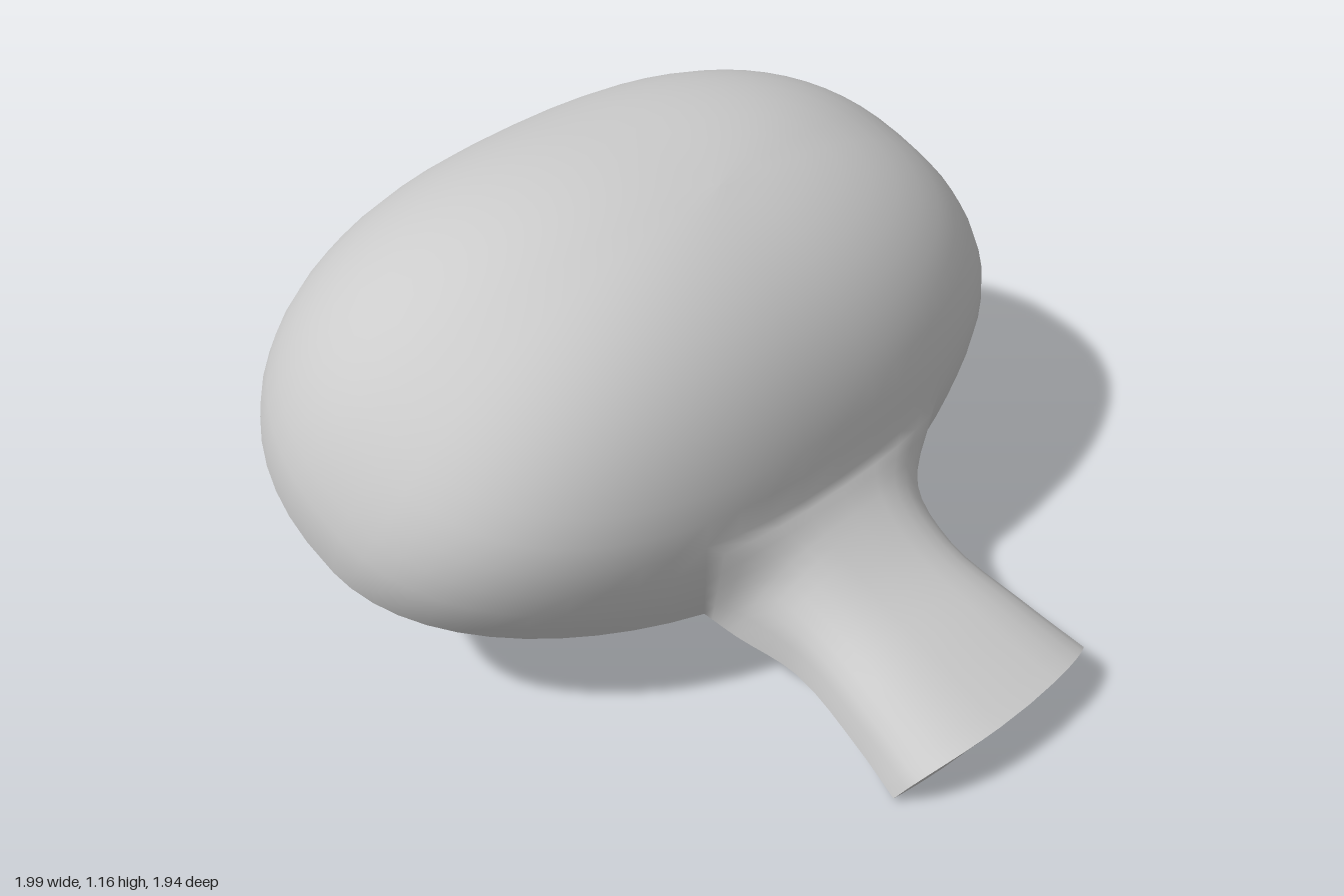
import * as THREE from 'three';

// Open half-shell dome with a hollow handle, modelled flat on its rim and then tilted.
const N = 64, M = 16;            // dome cells around and from rim to crown
const I0 = 12, I1 = 20, J = 4;   // handle opening in the dome grid
const ROWS = 16;                 // handle cells along its length

const signedPow = (v, e) => Math.sign(v) * Math.pow(Math.abs(v), e);

// Dome point: squarish rings shrinking towards the crown, sides bulging just above the rim.
function domePoint(i, j) {
  const a = (2 * Math.PI * i) / N, b = (Math.PI * j) / (2 * M);
  const sinB = Math.sin(b);
  const front = Math.sin(a) > 0 ? 1 : 0;
  const e = 2 / (2.4 - 0.55 * front * Math.max(0, 1 - b / 0.45));
  const bulge = 1 - 0.02 * Math.max(0, 1 - b / 0.2) ** 2;
  const width = bulge * Math.pow(Math.max(0, 1 - Math.pow(sinB, 2.3)), 1 / 2.3);
  const x = width * signedPow(Math.cos(a), e);
  const centre = -0.345 + 0.07 * sinB ** 2 + 0.06 * x ** 4;
  const z = centre + 0.69 * Math.cos(b) * signedPow(Math.sin(a), e);
  return new THREE.Vector3(x, 0.743 * sinB, z);
}

// Arch-shaped handle section point, k from 0 (left rim) to 1 (right rim).
function archPoint(k, z, w, h) {
  const a = Math.PI * k, e = 0.7;
  return new THREE.Vector3(
    w * signedPow(Math.cos(a), e) - 0.014,
    h * Math.pow(Math.max(Math.sin(a), 0), e), z);
}

function endPoint(k) {
  const p = archPoint(k, 0, 0.328, 0.172);
  p.z = 0.927 + 0.04 * (p.y / 0.172) - 0.025 * (p.x / 0.33) ** 2;
  return p;
}

function buildGeometry(points, index) {
  const g = new THREE.BufferGeometry().setFromPoints(points);
  g.setIndex(index);
  g.computeVertexNormals();
  return g;
}

function shellGeometry() {
  const pts = [], index = [];
  const quad = (a, b, c, d) => index.push(a, b, c, b, d, c);
  const id = (i, j) => (i % N) * (M + 1) + j;

  // dome, leaving out the handle opening
  for (let i = 0; i < N; i++) for (let j = 0; j <= M; j++) pts.push(domePoint(i, j));
  for (let i = 0; i < N; i++) for (let j = 0; j < M; j++) {
    if (i >= I0 && i < I1 && j < J) continue;
    quad(id(i, j), id(i, j + 1), id(i + 1, j), id(i + 1, j + 1));
  }

  // edge of the opening: up the left, across, down the right
  const edge = [];
  for (let j = 0; j < J; j++) edge.push(id(I0, j));
  for (let i = I0; i <= I1; i++) edge.push(id(i, J));
  for (let j = J - 1; j >= 0; j--) edge.push(id(I1, j));

  // handle lofted from that edge through arch sections
  let prev = edge;
  const last = edge.length - 1;
  const curves = edge.map((v, n) => {
    const k = n / last;
    return new THREE.CatmullRomCurve3([
      pts[v].clone(),
      archPoint(k, 0.38, 0.315, 0.235),
      archPoint(k, 0.54, 0.272, 0.187),
      archPoint(k, 0.76, 0.298, 0.177),
      endPoint(k),
    ]);
  });
  for (let r = 1; r <= ROWS; r++) {
    const row = curves.map((c) => pts.push(c.getPoint(r / ROWS)) - 1);
    for (let n = 0; n < last; n++) quad(prev[n], prev[n + 1], row[n], row[n + 1]);
    prev = row;
  }
  return buildGeometry(pts, index);
}

// Slanted end wall of the handle, from the arch down to the rim plane.
function handleEndGeometry() {
  const pts = [], index = [], n = 16;
  for (let k = 0; k <= n; k++) {
    const top = endPoint(k / n);
    const base = new THREE.Vector3(top.x, 0, 0.927 - 0.025 * (top.x / 0.33) ** 2);
    pts.push(top, base);
    if (k < n) {
      const a = 2 * k;
      index.push(a, a + 2, a + 1, a + 2, a + 3, a + 1);
    }
  }
  return buildGeometry(pts, index);
}

export function createModel() {
  const material = new THREE.MeshStandardMaterial({ color: 0xcccccc, side: THREE.DoubleSide });
  const tilted = new THREE.Group();
  tilted.name = 'tiltedShell';

  const shell = new THREE.Mesh(shellGeometry(), material);
  shell.name = 'domeAndHandle';
  const end = new THREE.Mesh(handleEndGeometry(), material);
  end.name = 'handleEnd';
  tilted.add(shell, end);

  // rim slopes down towards the handle
  tilted.rotation.x = 0.354;
  tilted.position.y = 0.323;

  const model = new THREE.Group();
  model.name = 'scoopShell';
  model.add(tilted);
  return model;
}
